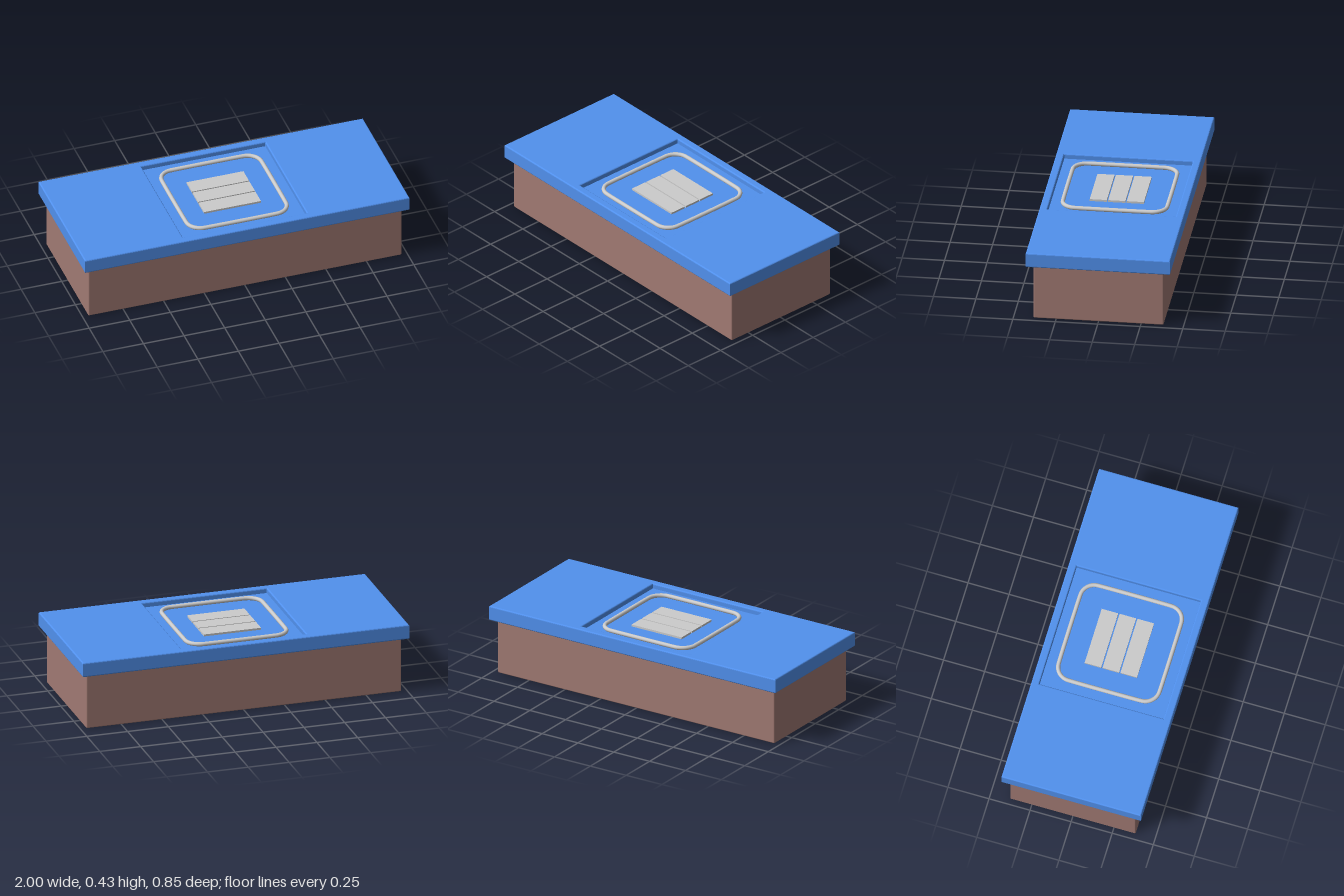
import * as THREE from 'three';
import { RoundedBoxGeometry } from 'three/addons/geometries/RoundedBoxGeometry.js';

const blue = new THREE.MeshStandardMaterial({ color: 0x5191ee });
const brown = new THREE.MeshStandardMaterial({ color: 0xa17a73 });
const grey = new THREE.MeshStandardMaterial({ color: 0xcccccc });

const FLOOR = 0.4; // height of the recess floor

function add(group, name, geometry, material, x = 0, y = 0, z = 0) {
  const mesh = new THREE.Mesh(geometry, material);
  mesh.name = name;
  mesh.position.set(x, y, z);
  group.add(mesh);
  return mesh;
}

// Rectangle outline centred on the origin
function rectangle(path, hx, hy) {
  path.moveTo(-hx, -hy);
  path.lineTo(hx, -hy);
  path.lineTo(hx, hy);
  path.lineTo(-hx, hy);
  path.closePath();
  return path;
}

// Lid slab with a square opening and softened edges
function lidGeometry() {
  const bevel = 0.008, height = 0.09;
  const shape = rectangle(new THREE.Shape(), 1, 0.425);
  shape.holes.push(rectangle(new THREE.Path(), 0.382, 0.378));
  const geometry = new THREE.ExtrudeGeometry(shape, {
    depth: height - 2 * bevel, bevelEnabled: true, bevelThickness: bevel,
    bevelSize: bevel, bevelOffset: -bevel, bevelSegments: 4,
  });
  return geometry.rotateX(-Math.PI / 2).translate(0, 0.34 + bevel, 0);
}

// Collar that widens towards the lid
function collarGeometry() {
  const geometry = new THREE.BoxGeometry(1.93, 0.01, 0.76);
  const p = geometry.attributes.position;
  for (let i = 0; i < p.count; i++) {
    if (p.getY(i) > 0) {
      p.setX(i, p.getX(i) + Math.sign(p.getX(i)) * 0.008);
      p.setZ(i, p.getZ(i) + Math.sign(p.getZ(i)) * 0.008);
    }
  }
  geometry.computeVertexNormals();
  return geometry;
}

// Round bar bent into a rounded square
function ringGeometry(half, corner, radius) {
  const points = [];
  const c = half - corner;
  [[1, 1], [-1, 1], [-1, -1], [1, -1]].forEach(([sx, sz], k) => {
    for (let i = 0; i <= 10; i++) {
      const a = (k + i / 10) * Math.PI / 2;
      points.push(new THREE.Vector3(sx * c + corner * Math.cos(a), 0, sz * c + corner * Math.sin(a)));
    }
  });
  const curve = new THREE.CatmullRomCurve3(points, true);
  return new THREE.TubeGeometry(curve, 200, radius, 12, true);
}

export function createModel() {
  const model = new THREE.Group();
  model.name = 'lidded box';

  // Body
  add(model, 'body', new RoundedBoxGeometry(1.93, 0.34, 0.765, 3, 0.007), brown, 0, 0.17, 0);
  add(model, 'collar', collarGeometry(), brown, 0, 0.336, 0);

  // Lid with its recessed panel
  add(model, 'lid', lidGeometry(), blue);
  add(model, 'recessFloor', new THREE.BoxGeometry(0.775, FLOOR - 0.342, 0.765), blue, 0, (FLOOR + 0.342) / 2, 0);

  // Ring and three plates lying in the recess
  add(model, 'ring', ringGeometry(0.307, 0.085, 0.0125), grey, 0, FLOOR + 0.0125, 0);
  const plates = new THREE.Group();
  plates.name = 'plates';
  for (let i = -1; i <= 1; i++) {
    add(plates, 'plate', new THREE.BoxGeometry(0.35, 0.012, 0.101), grey, 0, FLOOR + 0.006, -0.004 + i * 0.109);
  }
  model.add(plates);

  return model;
}
